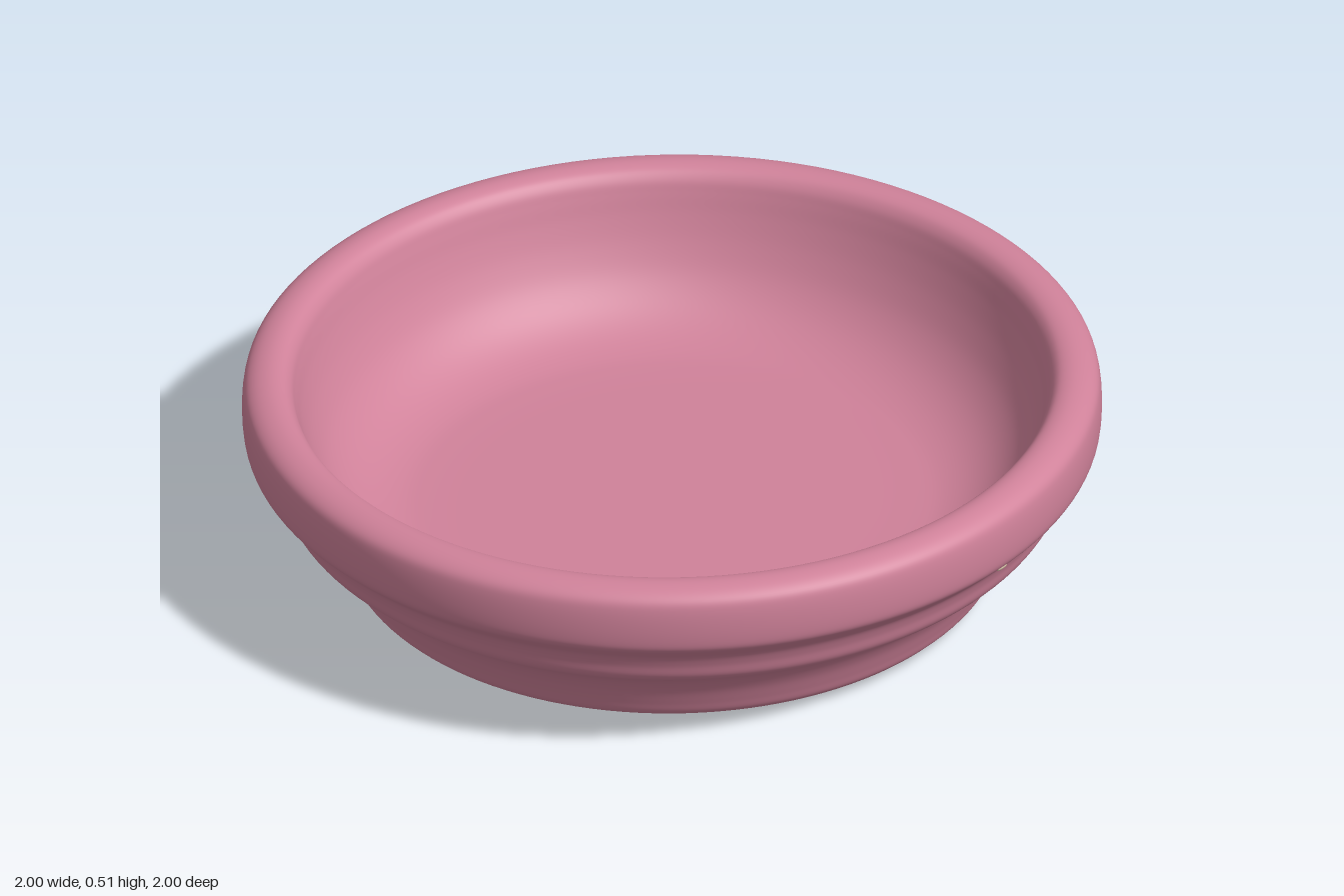
import * as THREE from 'three';

const SEGMENTS = 128;

// Smooth profile curve through [radius, height] pairs
const profile = (pairs, count) =>
  new THREE.CatmullRomCurve3(pairs.map(([r, y]) => new THREE.Vector3(r, y, 0)), false, 'centripetal')
    .getPoints(count)
    .map((p) => new THREE.Vector2(Math.max(p.x, 0), p.y));

export function createModel() {
  const model = new THREE.Group();
  model.name = 'shallowDish';

  const glaze = new THREE.MeshStandardMaterial({ color: 0xd0829a });
  glaze.name = 'pink glaze';
  const clay = new THREE.MeshStandardMaterial({ color: 0xd8c5a9 });
  clay.name = 'bare clay';

  // The dish leans very slightly towards -x
  const dish = new THREE.Group();
  dish.name = 'dish';
  dish.rotation.z = 0.0135;
  dish.position.x = 0.005;
  model.add(dish);

  const addLathe = (name, points, material) => {
    const mesh = new THREE.Mesh(new THREE.LatheGeometry(points, SEGMENTS), material);
    mesh.name = name;
    dish.add(mesh);
  };

  // Recess under the floor
  addLathe('baseRecess', profile([[0, 0.07], [0.3, 0.07], [0.57, 0.07], [0.594, 0.064], [0.607, 0.045], [0.624, 0.014]], 40), glaze);

  // Unglazed foot ring
  addLathe('footRing', profile([[0.624, 0.014], [0.64, 0.011], [0.69, 0.011], [0.73, 0.012], [0.752, 0.022]], 16), clay);

  // Stepped outer wall, rounded lip, inner wall and floor in one sweep
  const body = profile([
    [0.752, 0.022], [0.764, 0.035], [0.777, 0.065], [0.798, 0.11], [0.828, 0.152], [0.868, 0.186],
    [0.9, 0.205], [0.915, 0.224], [0.926, 0.258], [0.942, 0.29], [0.97, 0.317], [0.993, 0.341],
    [1.0, 0.37], [1.0, 0.44], [0.992, 0.47], [0.97, 0.488], [0.935, 0.496], [0.905, 0.489],
    [0.887, 0.47], [0.876, 0.44], [0.861, 0.39], [0.836, 0.325], [0.8, 0.26], [0.752, 0.208],
    [0.695, 0.172], [0.63, 0.151], [0.56, 0.145], [0.4, 0.143], [0.2, 0.143], [0, 0.143],
  ], 150);
  addLathe('bowl', body, glaze);

  // Small bare chips on the underside of the lip at the back
  const i = body.findIndex((p) => p.y > 0.315);
  const slope = body[i + 1].clone().sub(body[i - 1]).normalize();
  [[-43, 0.018], [-16.5, 0.032], [2, 0.028], [29, 0.03], [47, 0.028]].forEach(([angle, size], n) => {
    const pivot = new THREE.Group();
    pivot.name = 'chip' + (n + 1);
    pivot.rotation.y = THREE.MathUtils.degToRad(135 + angle);
    const chip = new THREE.Mesh(new THREE.SphereGeometry(1, 12, 8), clay);
    chip.name = 'glazeChip';
    chip.scale.set(size, size * 0.5, 0.0048);
    chip.position.set(0, body[i].y, body[i].x);
    chip.rotation.x = Math.atan2(slope.x, slope.y);
    pivot.add(chip);
    dish.add(pivot);
  });

  return model;
}
